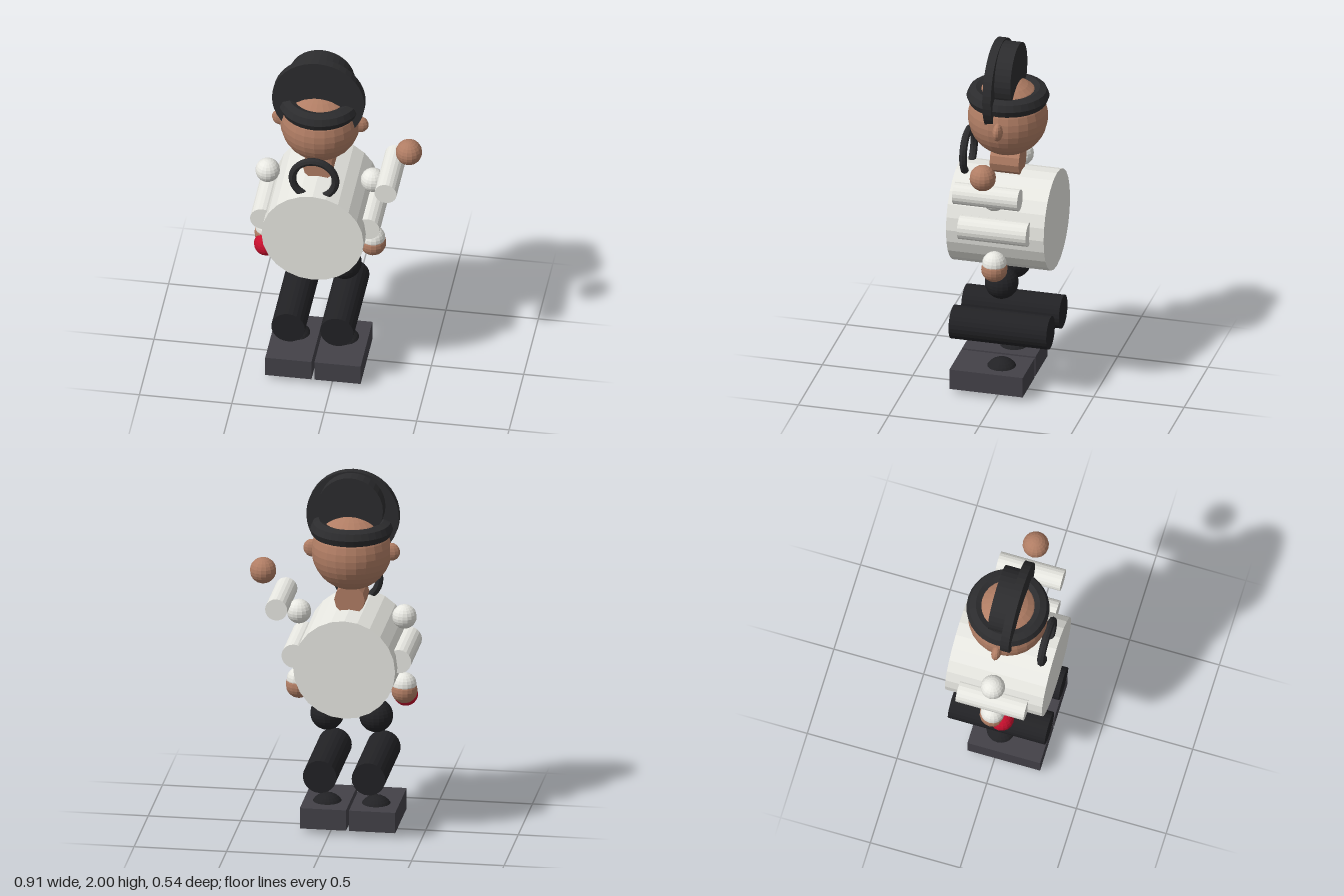
import * as THREE from 'three';

const CX = -0.1; // the body's own centre line

const mat = (color) => new THREE.MeshStandardMaterial({ color, flatShading: true });

export function createModel() {
  const group = new THREE.Group();
  const white = mat(0xe8e8e2), skin = mat(0xb07d64), hatBlack = mat(0x2c2c2e);
  const trouser = mat(0x222225), shoeGrey = mat(0x434148), red = mat(0xc8102e);

  const add = (name, geometry, material, x, y, z = 0) => {
    const mesh = new THREE.Mesh(geometry, material);
    mesh.name = name;
    mesh.position.set(x, y, z);
    group.add(mesh);
    return mesh;
  };
  const ball = (name, r, material, x, y, z = 0, seg = 16) =>
    add(name, new THREE.SphereGeometry(r, seg, Math.round(seg * 0.75)), material, x, y, z);
  // cylinder lying along z
  const rod = (name, r, length, material, x, y, z = 0, seg = 20) =>
    add(name, new THREE.CylinderGeometry(r, r, length, seg).rotateX(Math.PI / 2), material, x, y, z);

  // Torso, neck and head
  rod('torso', 0.276, 0.54, white, CX, 0.98, 0, 24);
  rod('neck', 0.083, 0.16, skin, CX, 1.31, 0, 12);
  ball('head', 0.215, skin, CX, 1.568, 0, 24);

  // Cap: band around the head and two upright discs
  add('capBand', new THREE.TorusGeometry(0.172, 0.05, 8, 32).rotateX(Math.PI / 2), hatBlack, CX, 1.69);
  rod('capFrontDisc', 0.25, 0.047, hatBlack, CX, 1.75, 0.053, 40);
  rod('capBackDisc', 0.178, 0.09, hatBlack, CX, 1.815, -0.015, 32);

  // Ring in front of the neck
  add('collarRing', new THREE.TorusGeometry(0.117, 0.021, 8, 32), hatBlack, CX, 1.335, 0.218);

  // Paired parts, mirrored about the body's centre line
  for (const [side, s] of [['left', 1], ['right', -1]]) {
    const armX = CX + s * 0.285, legX = CX + s * 0.132;
    ball(side + 'Ear', 0.05, skin, CX + s * 0.212, 1.568, 0, 12).scale.z = 0.55;
    ball(side + 'Shoulder', 0.066, white, armX, 1.205);
    rod(side + 'UpperArm', 0.066, 0.38, white, armX, 1.015);
    ball(side + 'Elbow', 0.066, white, armX, 0.82);
    ball(side + 'Hand', 0.071, skin, armX, 0.788);
    ball(side + 'Hip', 0.091, trouser, legX, 0.637, 0, 20);
    rod(side + 'Leg', 0.091, 0.54, trouser, legX, 0.367, 0, 24);
    ball(side + 'Ankle', 0.092, trouser, legX, 0.092, 0, 20);
    add(side + 'Shoe', new THREE.BoxGeometry(0.25, 0.115, 0.405), shoeGrey, CX + s * 0.133, 0.084, 0.053);
  }

  // Raised forearm and hand on the left
  rod('raisedForearm', 0.06, 0.36, white, 0.283, 1.264, 0.013);
  ball('raisedHand', 0.071, skin, 0.381, 1.422, 0.012);

  // Red ball held at the right hand
  ball('redBall', 0.066, red, CX - 0.285, 0.751, 0.05);

  return group;
}
